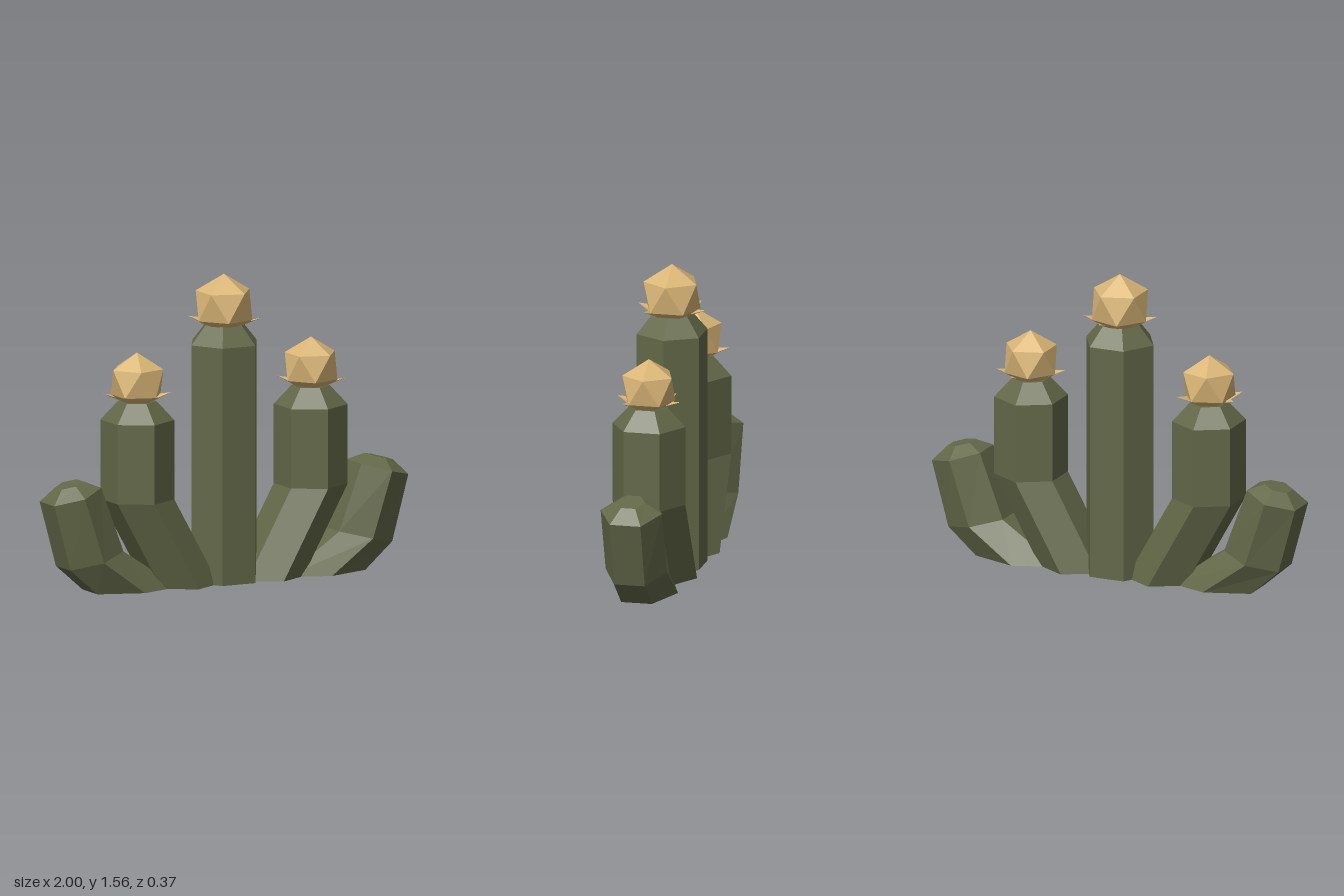
import * as THREE from 'three';

const green = new THREE.MeshStandardMaterial({ color: 0x636848, flatShading: true });
green.name = 'cactus green';
const tan = new THREE.MeshStandardMaterial({ color: 0xdab676, flatShading: true, side: THREE.DoubleSide });
tan.name = 'flower tan';

// Skins rings of points (listed bottom to top) with flat faces; optional end caps
function loft(rings, capped = true) {
  const pos = [];
  const tri = (a, b, c) => pos.push(...a, ...b, ...c);
  const n = rings[0].length;
  for (let r = 0; r < rings.length - 1; r++) {
    const lo = rings[r], up = rings[r + 1];
    for (let i = 0; i < n; i++) {
      const j = (i + 1) % n;
      tri(lo[i], up[i], lo[j]);
      tri(up[i], up[j], lo[j]);
    }
  }
  if (capped) {
    const bottom = rings[0], top = rings[rings.length - 1];
    for (let i = 1; i < n - 1; i++) {
      tri(bottom[0], bottom[i], bottom[i + 1]);
      tri(top[0], top[i + 1], top[i]);
    }
  }
  const g = new THREE.BufferGeometry();
  g.setAttribute('position', new THREE.Float32BufferAttribute(pos, 3));
  g.computeVertexNormals();
  return g;
}

// Hexagon between a left point and a right point, zr = radius in depth
function hexRing([x1, y1, x2, y2, zr], offset) {
  return Array.from({ length: 6 }, (_, i) => {
    const a = offset + i * Math.PI / 3;
    const c = Math.cos(a) / Math.cos(offset) / 2;
    return [(x1 + x2) / 2 + (x2 - x1) * c, (y1 + y2) / 2 + (y2 - y1) * c, zr * Math.sin(a)];
  });
}

function stem(name, sections, offset) {
  const m = new THREE.Mesh(loft(sections.map(s => hexRing(s, offset))), green);
  m.name = name;
  return m;
}

// Mirrors sections given as inner point, outer point, depth radius
const mirror = (sections, s) => s > 0 ? sections
  : sections.map(([x1, y1, x2, y2, r]) => [-x2, y2, -x1, y1, r]);

// Faceted bud sitting in a star of six pointed petals
function flower(name, x, y, radius, s) {
  const g = new THREE.Group();
  g.name = name;
  const budShape = new THREE.IcosahedronGeometry(radius, 0);
  budShape.rotateZ(-s * Math.atan(2 / (1 + Math.sqrt(5))));
  const bud = new THREE.Mesh(budShape, tan);
  bud.name = 'bud';

  const star = (rTip, yTip, rGap, yGap) => Array.from({ length: 12 }, (_, i) => {
    const a = Math.PI / 9 + i * Math.PI / 6;
    const r = i % 2 ? rGap : rTip, h = i % 2 ? yGap : yTip;
    return [s * radius * r * Math.cos(a), radius * h, -radius * r * Math.sin(a)];
  });
  const petals = new THREE.Mesh(
    loft([star(0.58, -0.62, 0.58, -0.62), star(1.15, -0.38, 0.75, -0.5)], false), tan);
  petals.name = 'petals';
  g.add(bud, petals);
  g.position.set(x, y, 0);
  return g;
}

export function createModel() {
  const model = new THREE.Group();
  model.name = 'cactus';

  // Central column
  model.add(stem('centralColumn', [
    [-0.185, 0, 0.185, 0, 0.185],
    [-0.185, 1.205, 0.185, 1.205, 0.185],
    [-0.105, 1.3, 0.105, 1.3, 0.105],
  ], 0));
  model.add(flower('centralFlower', 0, 1.395, 0.16, 1));

  // Inner and outer arms on each side
  const innerArm = [
    [0.08, 0, 0.4, 0, 0.187],
    [0.33, 0.45, 0.65, 0.45, 0.187],
    [0.33, 0.853, 0.65, 0.853, 0.187],
    [0.406, 0.948, 0.574, 0.948, 0.097],
  ];
  const outerArm = [
    [0.3, 0, 0.757, 0, 0.158],
    [0.61, 0.207, 0.909, 0.133, 0.158],
    [0.735, 0.54, 1, 0.467, 0.158],
    [0.813, 0.572, 0.936, 0.54, 0.073],
  ];
  for (const s of [1, -1]) {
    const side = s > 0 ? 'left' : 'right';
    model.add(stem(side + 'InnerArm', mirror(innerArm, s), Math.PI / 6));
    model.add(stem(side + 'OuterArm', mirror(outerArm, s), Math.PI / 6));
    model.add(flower(side + 'Flower', s * 0.492, 1.046, 0.149, s));
  }
  return model;
}
